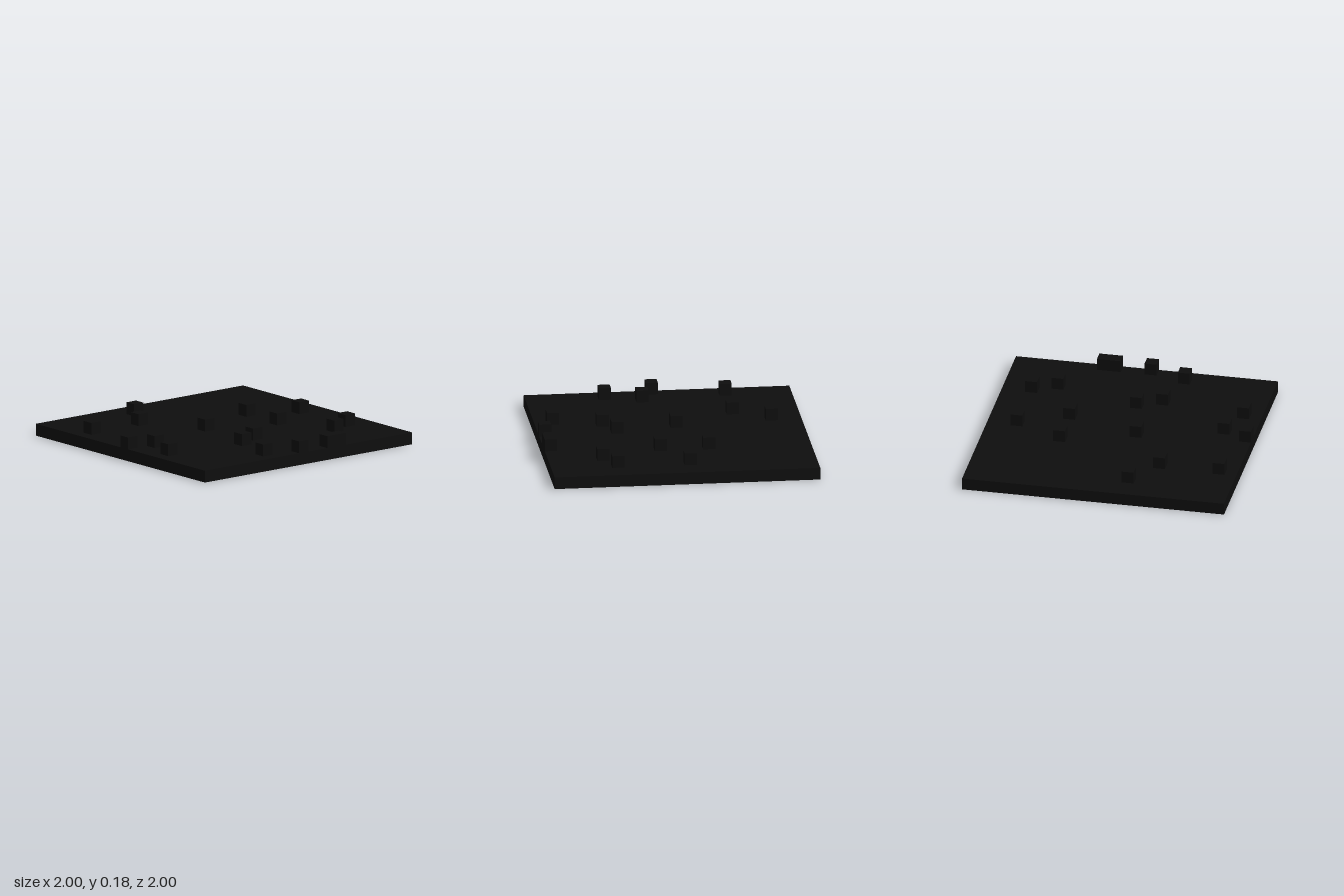
import * as THREE from 'three';

const CELLS = 22;
const UNIT = 2 / CELLS;

// Studs as [column, row, width in cells], counted from the back left-hand corner of the plan
const STUDS = [
  [8, 2, 1], [1, 5, 1], [6, 5, 1], [15, 8, 1], [9, 10, 1], [19, 10, 1],
  [0, 11, 1], [2, 12, 1], [15, 12, 1], [1, 15, 1], [10, 15, 1], [8, 16, 1],
  [19, 16, 1], [17, 17, 1], [7, 20, 1], [10, 21, 1], [13, 21, 2],
];

export function createModel() {
  const model = new THREE.Group();
  model.name = 'studdedFloor';

  const black = new THREE.MeshStandardMaterial({ color: 0x0d0d0d });
  black.name = 'black';

  // Flat square base, one cell thick
  const slab = new THREE.Mesh(new THREE.BoxGeometry(2, UNIT, 2), black);
  slab.name = 'baseSlab';
  slab.position.y = UNIT / 2;
  model.add(slab);

  // Scattered cubes standing on the base
  const studs = new THREE.Group();
  studs.name = 'studs';
  for (const [column, row, width] of STUDS) {
    const stud = new THREE.Mesh(new THREE.BoxGeometry(width * UNIT, UNIT, UNIT), black);
    stud.name = 'stud';
    stud.position.set((column + width / 2) * UNIT - 1, UNIT * 1.5, (row + 0.5) * UNIT - 1);
    studs.add(stud);
  }
  model.add(studs);

  return model;
}
